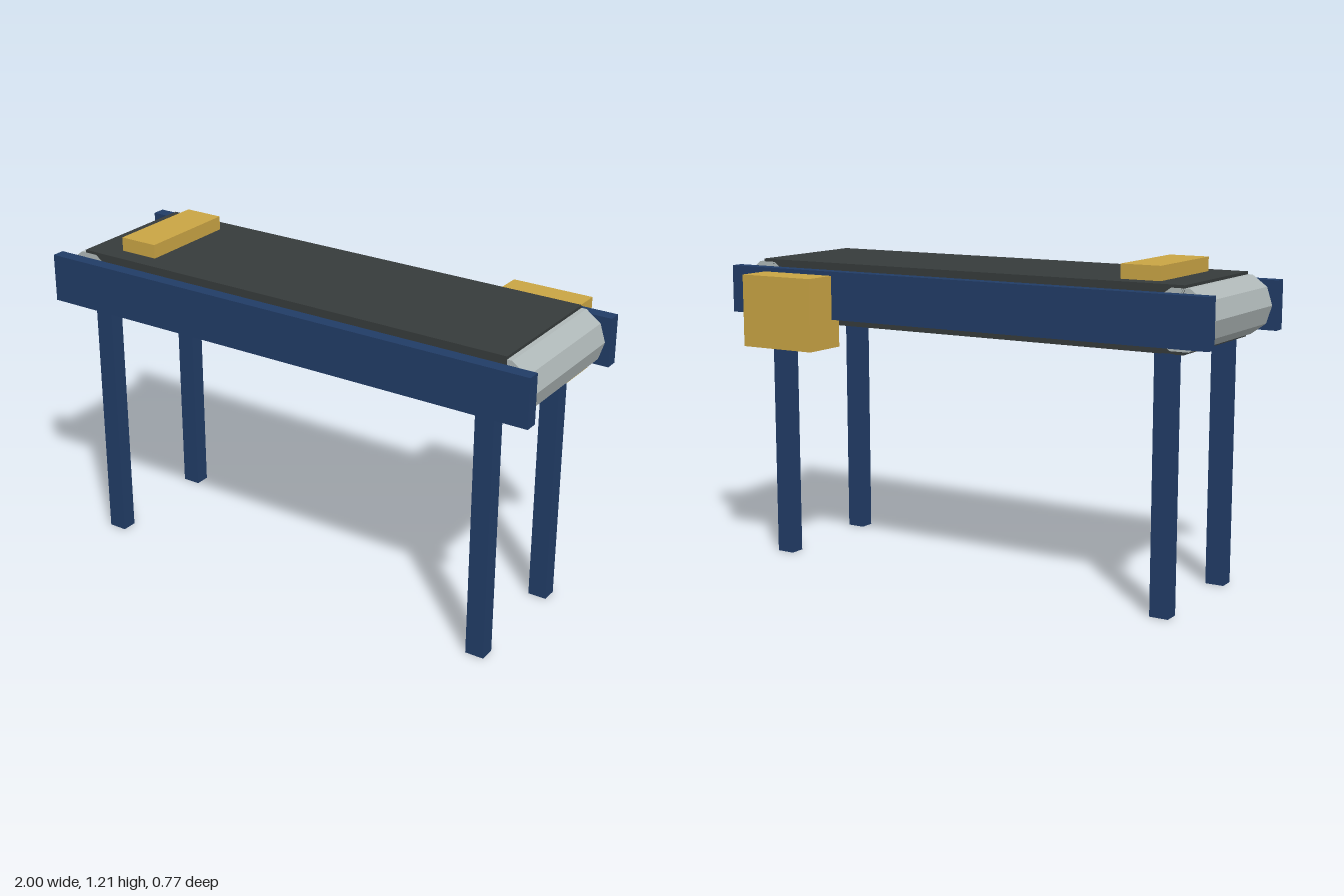
import * as THREE from 'three';

const paint = (name, color) => {
  const m = new THREE.MeshStandardMaterial({ color });
  m.name = name;
  return m;
};

export function createModel() {
  const blue = paint('frame blue', 0x213c66);
  const rubber = paint('belt rubber', 0x363b3b);
  const steel = paint('roller steel', 0xb0b9b9);
  const yellow = paint('yellow', 0xc9a444);

  const model = new THREE.Group();
  model.name = 'conveyor';

  const add = (name, geometry, material, x, y, z) => {
    const mesh = new THREE.Mesh(geometry, material);
    mesh.name = name;
    mesh.position.set(x, y, z);
    model.add(mesh);
    return mesh;
  };
  const box = (name, material, w, h, d, x, y, z) =>
    add(name, new THREE.BoxGeometry(w, h, d), material, x, y, z);

  const midZ = 0.068; // centre line of the belt
  const midY = 1.04; // axle height

  // Belt
  box('belt', rubber, 1.774, 0.234, 0.53, 0, midY, midZ);

  // Ten-sided rollers at both ends, with a corner pointing outwards
  const rollerShape = new THREE.CylinderGeometry(0.112, 0.112, 0.53, 10, 1, false, Math.PI / 2)
    .rotateX(Math.PI / 2)
    .toNonIndexed();
  rollerShape.computeVertexNormals();

  for (const side of [-1, 1]) {
    const end = side > 0 ? 'left' : 'right';
    add(end + 'Roller', rollerShape, steel, side * 0.871, midY, midZ);

    // Side rails, front and back
    box(side > 0 ? 'frontRail' : 'backRail', blue, 2, 0.18, 0.049, 0, midY, midZ + side * 0.294);

    // Legs
    for (const depth of [-1, 1]) {
      const name = end + (depth > 0 ? 'FrontLeg' : 'BackLeg');
      box(name, blue, 0.071, 0.925, 0.059, side * 0.815, 0.4625, midZ + depth * 0.2355);
    }
  }

  // Drive motor behind the back rail
  box('motor', yellow, 0.312, 0.271, 0.178, 0.684, 0.979, -0.295);

  // Parcel lying on the belt
  box('parcel', yellow, 0.152, 0.052, 0.391, -0.689, 1.183, midZ);

  return model;
}
